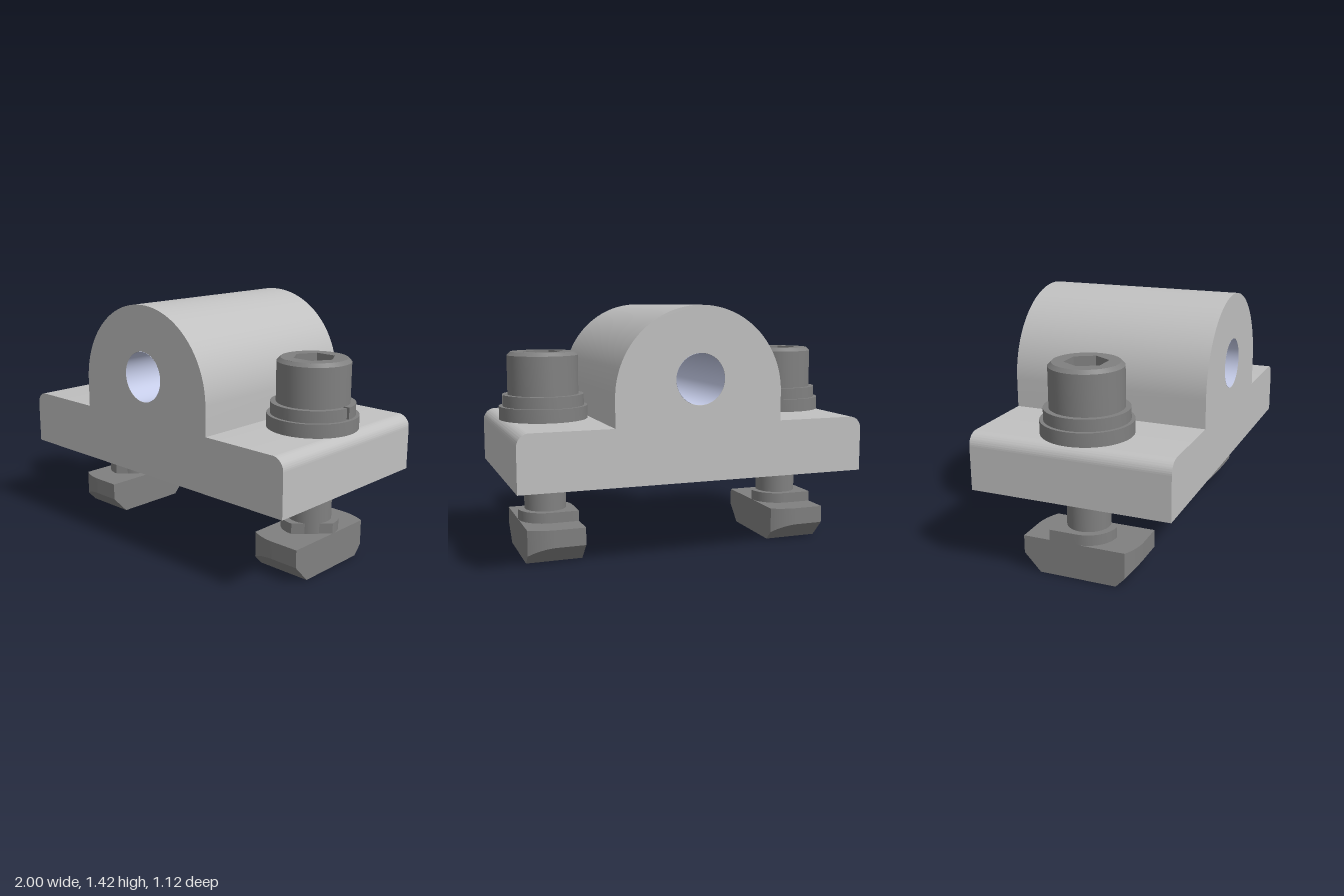
import * as THREE from 'three';
import { toCreasedNormals } from 'three/addons/utils/BufferGeometryUtils.js';

const blockGrey = new THREE.MeshStandardMaterial({ color: 0xc0c0c0 });
blockGrey.name = 'light grey';
const steel = new THREE.MeshStandardMaterial({ color: 0x808080 });
steel.name = 'dark steel';
const boreBlue = new THREE.MeshStandardMaterial({ color: 0xcad1ee, side: THREE.DoubleSide });
boreBlue.name = 'pale blue bore';

function part(name, geometry, material = steel) {
  const mesh = new THREE.Mesh(toCreasedNormals(geometry, 0.5), material);
  mesh.name = name;
  return mesh;
}

const lathe = (points) =>
  new THREE.LatheGeometry(points.map(([r, y]) => new THREE.Vector2(r, y)), 64);

const circle = (r, x = 0, y = 0) => new THREE.Path().absarc(x, y, r, 0, Math.PI * 2, true);

// Extrude a plan outline upwards from y0 to y1
function upright(shape, y0, y1) {
  return new THREE.ExtrudeGeometry(shape, { depth: y1 - y0, bevelEnabled: false, curveSegments: 48 })
    .rotateX(-Math.PI / 2).translate(0, y0, 0);
}

// Base plate and arched housing as one profile
function makeBlock() {
  const s = new THREE.Shape();
  s.moveTo(-1, 0.465);
  s.lineTo(1, 0.465);
  s.absarc(0.93, 0.71, 0.07, 0, Math.PI / 2);
  s.lineTo(0.48, 0.78);
  s.absarc(0, 0.94, 0.48, 0, Math.PI);
  s.lineTo(-0.48, 0.78);
  s.absarc(-0.93, 0.71, 0.07, Math.PI / 2, Math.PI);
  s.closePath();
  s.holes.push(circle(0.141, 0, 1.025));
  const g = new THREE.ExtrudeGeometry(s, { depth: 1.12, bevelEnabled: false, curveSegments: 48 });
  return part('bearingBlock', g.translate(0, 0, -0.56), blockGrey);
}

// Slotted-rail nut: two opposite corners rounded, lower ends chamfered
function makeNutBody() {
  const w = 0.16, R = 0.315, flat = 0.22, n = 32, pos = [];
  const section = (x) => {
    const round = Math.sqrt(R * R - x * x);
    const f = x < 0 ? round : R, b = x > 0 ? round : R;
    const cut = (z) => (z - flat) * 0.1 / (R - flat);
    return [[f, 0.2], [f, cut(f)], [flat, 0], [-flat, 0], [-b, cut(b)], [-b, 0.2]]
      .map(([z, y]) => [x, y, z]);
  };
  for (let i = 0; i < n; i++) {
    const a = section(-w + 2 * w * i / n), b = section(-w + 2 * w * (i + 1) / n);
    for (let k = 0; k < 6; k++) {
      if (k === 2) continue; // underside is a separate face with a hole
      const m = (k + 1) % 6;
      pos.push(...a[k], ...a[m], ...b[m], ...a[k], ...b[m], ...b[k]);
    }
  }
  const left = section(w), right = section(-w);
  for (let k = 1; k < 5; k++) {
    pos.push(...left[0], ...left[k], ...left[k + 1]);
    pos.push(...right[0], ...right[k + 1], ...right[k]);
  }
  const g = new THREE.BufferGeometry();
  g.setAttribute('position', new THREE.Float32BufferAttribute(pos, 3));
  return g;
}

function makeNut() {
  const nut = new THREE.Group();
  nut.name = 'slotNut';
  nut.add(part('nutBody', makeNutBody()));

  // Underside and threaded hole
  const under = new THREE.Shape();
  under.moveTo(-0.16, -0.22).lineTo(0.16, -0.22).lineTo(0.16, 0.22).lineTo(-0.16, 0.22).closePath();
  under.holes.push(circle(0.097));
  nut.add(part('nutUnderside', new THREE.ShapeGeometry(under, 48).rotateX(Math.PI / 2)));
  nut.add(part('nutHole', lathe([[0, 0.15], [0.097, 0.15], [0.097, 0]])));

  // Raised neck with the same two corners rounded
  const neck = new THREE.Shape();
  neck.moveTo(0.16, -0.16);
  neck.absarc(0, 0, 0.16, 0, Math.PI / 2);
  neck.lineTo(-0.16, 0.16);
  neck.absarc(0, 0, 0.16, Math.PI, Math.PI * 1.5);
  neck.closePath();
  nut.add(part('nutNeck', upright(neck, 0.2, 0.26)));
  return nut;
}

function makeBolt() {
  const bolt = new THREE.Group();
  bolt.name = 'bolt';
  bolt.add(part('shank', lathe([[0.12, 0.2], [0.12, 0.93]])));
  bolt.add(part('flatWasher', lathe([[0.12, 0.78], [0.25, 0.78], [0.25, 0.855], [0.12, 0.855]])));

  // Spring washer with a slit on one side
  const gap = 0.045, ring = new THREE.Shape();
  ring.absarc(0, 0, 0.23, gap, Math.PI * 2 - gap, false);
  ring.absarc(0, 0, 0.125, Math.PI * 2 - gap * 1.8, gap * 1.8, true);
  ring.closePath();
  bolt.add(part('springWasher', upright(ring, 0.855, 0.92)));

  // Chamfered head with a hexagonal socket
  bolt.add(part('head', lathe([[0.12, 0.92], [0.2, 0.92], [0.2, 1.14], [0.18, 1.16]])));
  const top = new THREE.Shape().absarc(0, 0, 0.18, 0, Math.PI * 2, false);
  const hex = [];
  for (let i = 0; i < 6; i++) {
    const a = -i * Math.PI / 3;
    hex.push(new THREE.Vector2(0.118 * Math.cos(a), 0.118 * Math.sin(a)));
  }
  top.holes.push(new THREE.Path(hex));
  bolt.add(part('headSocket', upright(top, 1.04, 1.16)));
  const floor = new THREE.CircleGeometry(0.15, 24).rotateX(-Math.PI / 2).translate(0, 1.041, 0);
  bolt.add(part('socketFloor', floor));
  return bolt;
}

export function createModel() {
  const model = new THREE.Group();
  model.name = 'bearingBlockAssembly';
  model.add(makeBlock());

  // Coloured lining of the through hole
  const lining = new THREE.CylinderGeometry(0.14, 0.14, 1.12, 64, 1, true);
  model.add(part('bore', lining.rotateX(Math.PI / 2).translate(0, 1.025, 0), boreBlue));

  // Identical fasteners on both sides
  for (const [name, x] of [['leftFastener', 0.74], ['rightFastener', -0.74]]) {
    const fastener = new THREE.Group();
    fastener.name = name;
    fastener.add(makeBolt(), makeNut());
    fastener.position.x = x;
    model.add(fastener);
  }
  return model;
}
